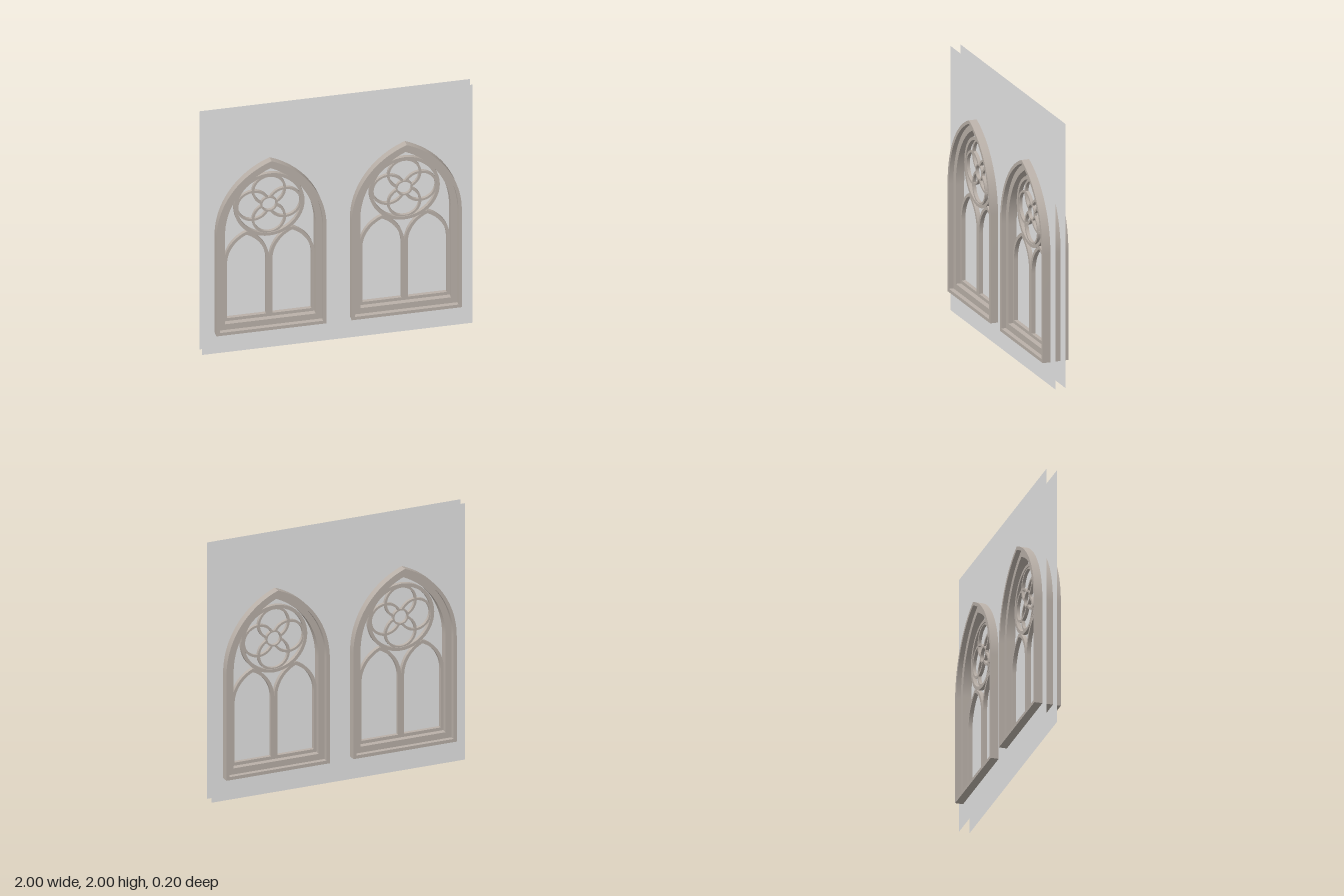
import * as THREE from 'three';
import { toCreasedNormals } from 'three/addons/utils/BufferGeometryUtils.js';

const wallMat = new THREE.MeshStandardMaterial({ color: 0xe5e5e5, side: THREE.DoubleSide });
wallMat.name = 'wall plaster';
const stoneMat = new THREE.MeshStandardMaterial({ color: 0xb9b0a8 });
stoneMat.name = 'window stone';

const SPRING = 1.0, OFFSET = 0.23; // main arch springing height and arc centre offset

// Pointed arch outline: half width w, sill y, springing y, arc centres offset by c
function traceArch(path, x, w, sill, spring, c) {
  const R = w + c, a = Math.acos(c / R);
  path.moveTo(x - w, sill);
  path.lineTo(x + w, sill);
  path.lineTo(x + w, spring);
  path.absarc(x - c, spring, R, 0, a, false);
  path.absarc(x + c, spring, R, Math.PI - a, Math.PI, false);
  path.closePath();
  return path;
}

// Extrudes a shape symmetrically about z = 0
function slab(name, shape, halfDepth) {
  const geo = new THREE.ExtrudeGeometry(shape, {
    depth: halfDepth * 2, bevelEnabled: false, curveSegments: 24,
  });
  geo.translate(0, 0, -halfDepth);
  const mesh = new THREE.Mesh(toCreasedNormals(geo, 0.5), stoneMat);
  mesh.name = name;
  return mesh;
}

// Band of constant width between two concentric pointed arches
function archBand(name, x, w, sill, spring, c, width, halfDepth) {
  const shape = traceArch(new THREE.Shape(), x, w, sill, spring, c);
  shape.holes.push(traceArch(new THREE.Path(), x, w - width, sill + width, spring, c));
  return slab(name, shape, halfDepth);
}

function ring(name, y, outer, inner, halfDepth) {
  const shape = new THREE.Shape().absarc(0, y, outer, 0, Math.PI * 2, false);
  shape.holes.push(new THREE.Path().absarc(0, y, inner, 0, Math.PI * 2, true));
  return slab(name, shape, halfDepth);
}

function createWindow() {
  const g = new THREE.Group();

  // Stepped frame
  g.add(archBand('outerFrame', 0, 0.407, 0.178, SPRING, OFFSET, 0.025, 0.1));
  g.add(archBand('innerFrame', 0, 0.382, 0.203, SPRING, OFFSET, 0.047, 0.065));

  // Recessed pane closing the opening
  const paneShape = traceArch(new THREE.Shape(), 0, 0.36, 0.23, SPRING, OFFSET);
  const pane = new THREE.Mesh(new THREE.ShapeGeometry(paneShape, 24), wallMat);
  pane.name = 'pane';
  g.add(pane);

  // Twin lancets, meeting at the central mullion
  for (const s of [-1, 1]) {
    g.add(archBand('lancet', s * 0.168, 0.168, 0.254, 0.735, 0.102, 0.024, 0.03));
  }

  // Rose: outer ring, hub ring and four interlaced foils
  const cy = 1.191, d = 0.118, gap = 0.47;
  g.add(ring('roseRing', cy, 0.261, 0.236, 0.03));
  g.add(ring('roseHub', cy, 0.062, 0.05, 0.025));
  for (let i = 0; i < 4; i++) {
    const a = (i * Math.PI) / 2;
    const x = d * Math.cos(a), y = cy + d * Math.sin(a);
    const from = a - Math.PI + gap, to = a + Math.PI - gap;
    const foil = new THREE.Shape();
    foil.absarc(x, y, 0.126, from, to, false);
    foil.absarc(x, y, 0.109, to, from, true);
    foil.closePath();
    g.add(slab('roseFoil', foil, 0.024));
  }
  return g;
}

export function createModel() {
  const model = new THREE.Group();
  model.name = 'gothicWindowWall';

  // Thin wall faces, front and back, cut out behind the frames
  const wallShape = new THREE.Shape();
  wallShape.moveTo(-1, 0).lineTo(1, 0).lineTo(1, 2).lineTo(-1, 2).closePath();
  for (const x of [-0.5, 0.5]) {
    wallShape.holes.push(traceArch(new THREE.Path(), x, 0.37, 0.215, SPRING, OFFSET));
  }
  for (const s of [1, -1]) {
    const wall = new THREE.Mesh(new THREE.ShapeGeometry(wallShape, 24), wallMat);
    wall.name = s > 0 ? 'frontWall' : 'backWall';
    wall.position.z = s * 0.04;
    if (s < 0) wall.rotation.y = Math.PI;
    model.add(wall);
  }

  // Two identical windows
  for (const s of [1, -1]) {
    const win = createWindow();
    win.name = s > 0 ? 'leftWindow' : 'rightWindow';
    win.position.x = s * 0.5;
    model.add(win);
  }
  return model;
}
